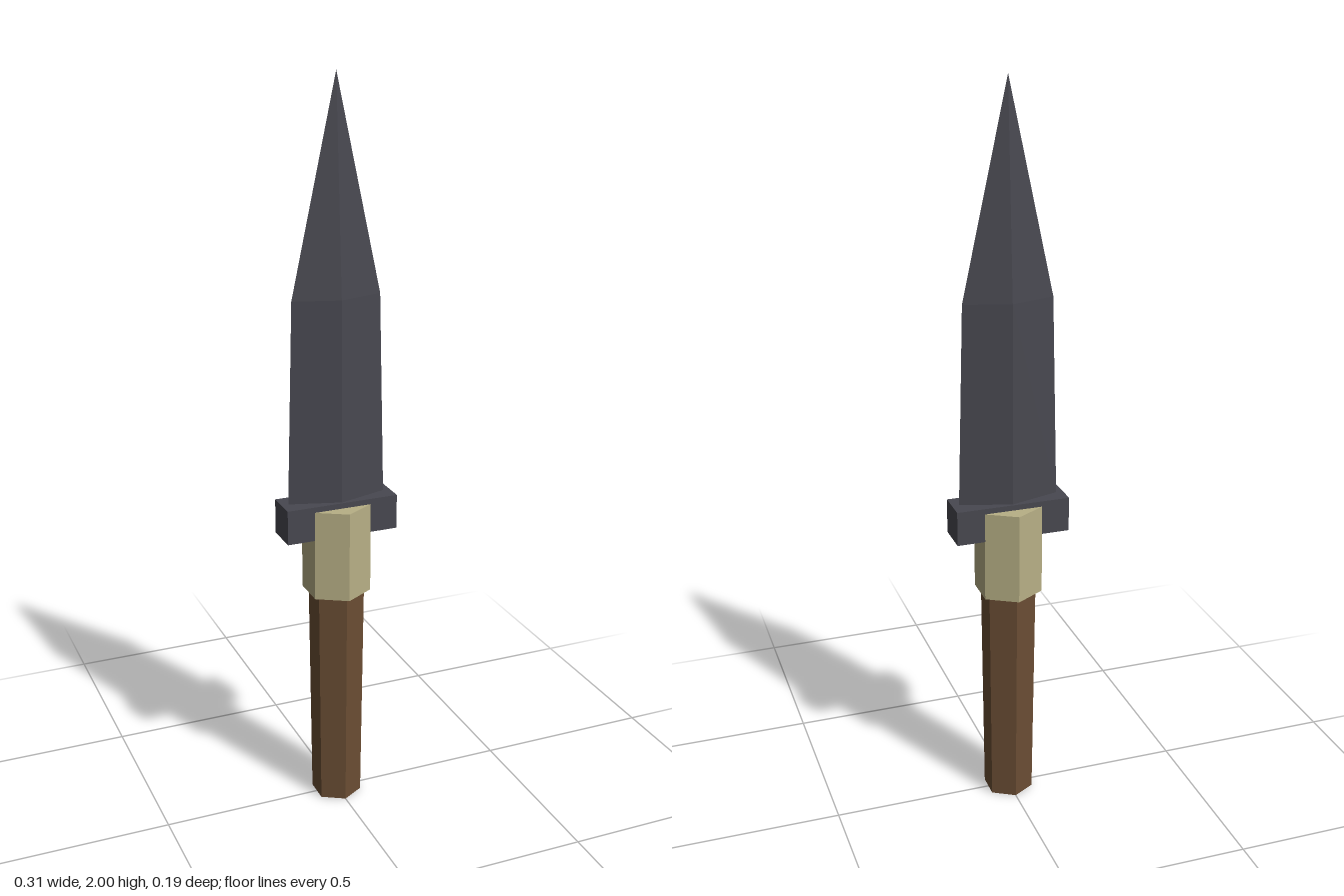
import * as THREE from 'three';

const material = (name, color) =>
  new THREE.MeshStandardMaterial({ name, color, flatShading: true });

export function createModel() {
  const steel = material('dark steel', 0x484850);
  const brass = material('pale brass', 0xb8b086);
  const wood = material('brown wood', 0x6b4e34);

  const model = new THREE.Group();
  model.name = 'dagger';
  const add = (name, geometry, mat, y = 0) => {
    const mesh = new THREE.Mesh(geometry, mat);
    mesh.name = name;
    mesh.position.y = y;
    model.add(mesh);
  };

  // Hexagonal prism with corners on the z axis, spanning two heights
  const hexPart = (name, rTop, rBottom, y0, y1, mat) =>
    add(name, new THREE.CylinderGeometry(rTop, rBottom, y1 - y0, 6), mat, (y0 + y1) / 2);

  hexPart('handle', 0.076, 0.069, 0, 0.64, wood);
  hexPart('collar', 0.093, 0.093, 0.63, 0.88, brass);

  // Crossguard
  add('guard', new THREE.BoxGeometry(0.312, 0.095, 0.094), steel, 0.8475);

  // Diamond-section blade: gentle taper, then a long point
  const profile = [[0, 0.88], [0.137, 0.88], [0.122, 1.44], [0, 2]]
    .map(([x, y]) => new THREE.Vector2(x, y));
  const blade = new THREE.LatheGeometry(profile, 4);
  blade.scale(1, 1, 0.3);
  add('blade', blade, steel);

  return model;
}
